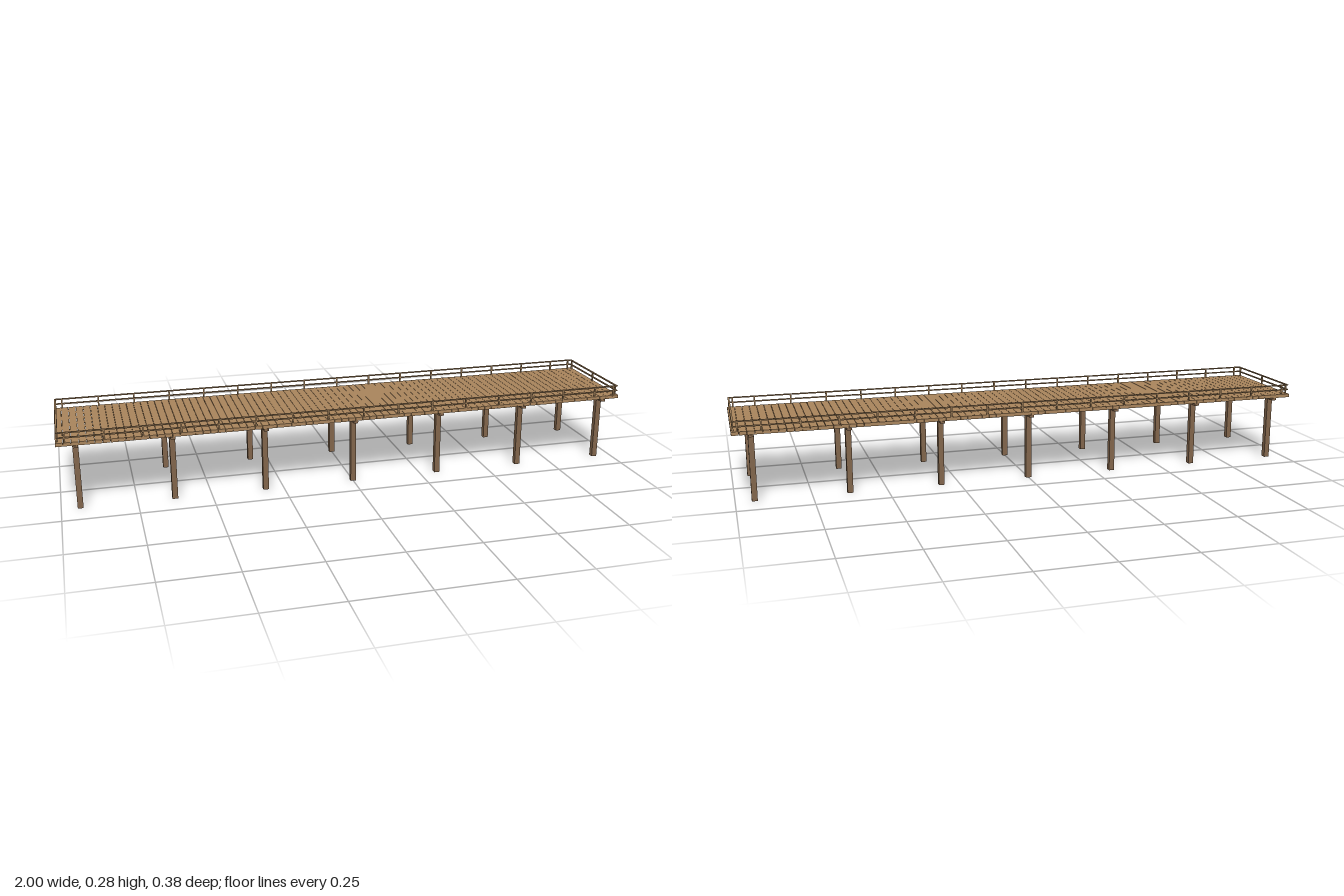
import * as THREE from 'three';

const material = (name, color) => {
  const m = new THREE.MeshStandardMaterial({ color });
  m.name = name;
  return m;
};

export function createModel() {
  const pier = new THREE.Group();
  pier.name = 'pier';
  const deckWood = material('deck wood', 0xa8845c);
  const pileWood = material('pile wood', 0x80644a);
  const railWood = material('rail wood', 0x9c7c57);

  const group = (name) => {
    const g = new THREE.Group();
    g.name = name;
    pier.add(g);
    return g;
  };
  const box = (parent, name, mat, size, pos) => {
    const mesh = new THREE.Mesh(new THREE.BoxGeometry(...size), mat);
    mesh.name = name;
    mesh.position.set(...pos);
    parent.add(mesh);
  };

  // Deck of narrow cross planks with fine gaps
  const deck = group('deck');
  const planks = 80;
  const pitch = 2 / planks;
  for (let i = 0; i < planks; i++) {
    box(deck, 'plank', deckWood, [pitch - 0.001, 0.012, 0.376], [-1 + (i + 0.5) * pitch, 0.238, 0]);
  }

  // Seven bents: a cross beam on two square piles
  const supports = group('supports');
  for (let i = 0; i < 7; i++) {
    const x = -0.9375 + i * 0.3125;
    box(supports, 'crossBeam', pileWood, [0.016, 0.008, 0.381], [x, 0.228, 0]);
    for (const side of [-1, 1]) {
      box(supports, 'pile', pileWood, [0.019, 0.2318, 0.019], [x, 0.1159, side * 0.15]);
    }
  }

  // Railings along both long sides
  const railHeights = [0.26, 0.277];
  const postXs = Array.from({ length: 16 }, (_, i) => -0.97 + i * 0.125).concat(0.98);
  for (const side of [-1, 1]) {
    const railing = group(side > 0 ? 'frontRailing' : 'backRailing');
    for (const x of postXs) {
      box(railing, 'railPost', railWood, [0.005, 0.034, 0.005], [x, 0.26, side * 0.183]);
    }
    for (const y of railHeights) {
      box(railing, 'rail', railWood, [1.98, 0.004, 0.006], [0, y, side * 0.183]);
    }
  }

  // Railings across both ends
  for (const side of [-1, 1]) {
    const railing = group(side > 0 ? 'leftEndRailing' : 'rightEndRailing');
    for (const z of [-0.172, 0, 0.172]) {
      box(railing, 'railPost', railWood, [0.005, 0.034, 0.005], [side * 0.993, 0.26, z]);
    }
    for (const y of railHeights) {
      box(railing, 'rail', railWood, [0.006, 0.004, 0.37], [side * 0.993, y, 0]);
    }
  }

  return pier;
}
